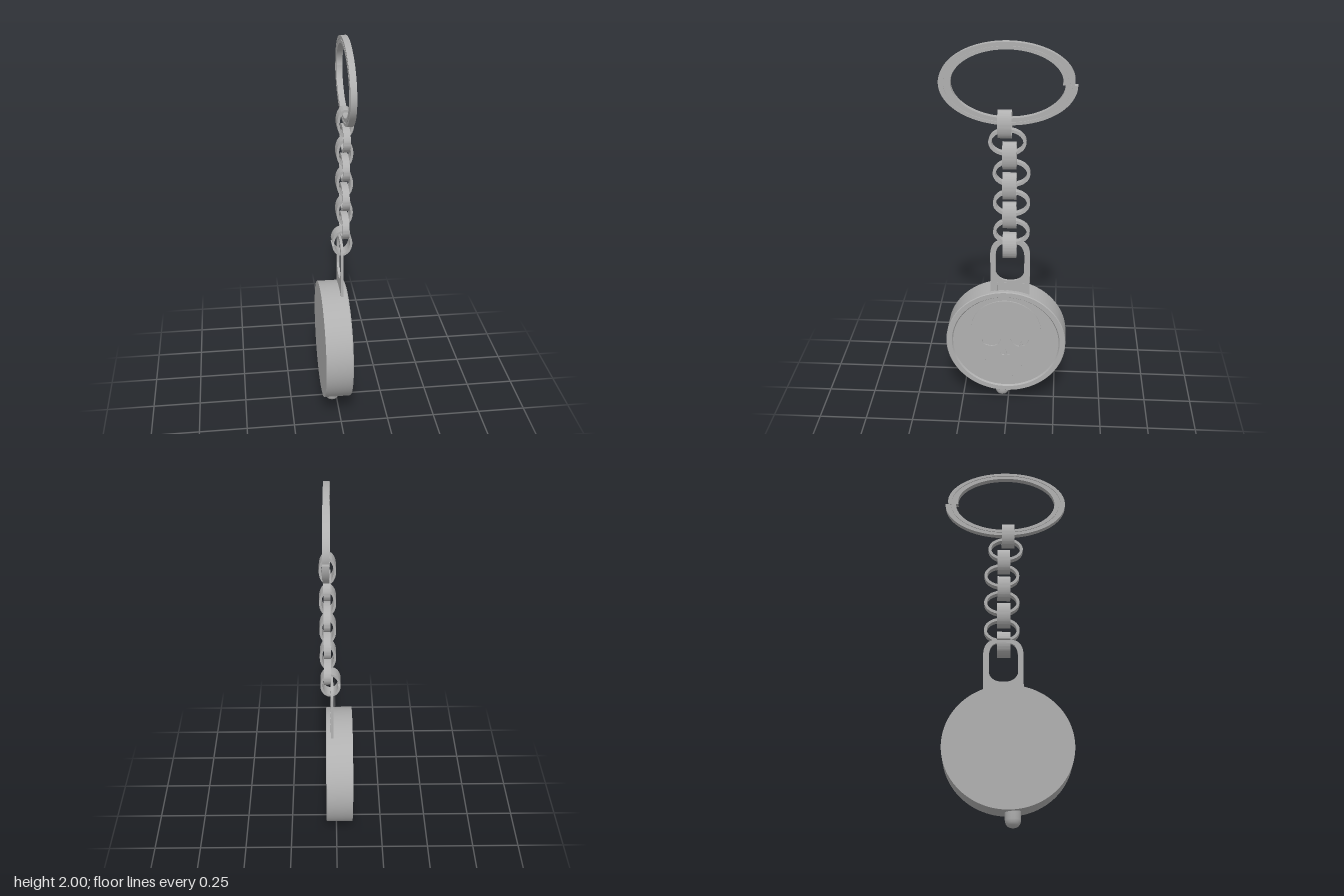
import * as THREE from 'three';
import { toCreasedNormals } from 'three/addons/utils/BufferGeometryUtils.js';

const metal = new THREE.MeshStandardMaterial({ color: 0xb0b0b0 });
metal.name = 'grey metal';

// Everything is laid out facing +z, then the whole group is turned to face +x.
export function createModel() {
  const root = new THREE.Group();
  root.name = 'keychain';
  root.rotation.y = Math.PI / 2;

  const add = (name, geo, x = 0, y = 0, z = 0) => {
    const mesh = new THREE.Mesh(toCreasedNormals(geo, 0.6), metal);
    mesh.name = name;
    mesh.position.set(x, y, z);
    root.add(mesh);
    return mesh;
  };
  const extrude = (shape, depth) =>
    new THREE.ExtrudeGeometry(shape, { depth, bevelEnabled: false, curveSegments: 16 });

  // Flat oval band, centred in depth; an optional gap opens it at +x
  const band = (rx, ry, wall, depth, gap = 0) => {
    const s = new THREE.Shape();
    s.absellipse(0, 0, rx, ry, gap, Math.PI * 2 - gap, false, 0);
    if (gap) {
      s.absellipse(0, 0, rx - wall, ry - wall, Math.PI * 2 - gap, gap, true, 0);
      s.closePath();
    } else {
      const h = new THREE.Path();
      h.absellipse(0, 0, rx - wall, ry - wall, 0, Math.PI * 2, true, 0);
      s.holes.push(h);
    }
    const g = new THREE.ExtrudeGeometry(s, { depth, bevelEnabled: false, curveSegments: 40 });
    return g.translate(0, 0, -depth / 2);
  };

  // Smooth closed outline through a few points
  const blob = (pts, n) => new THREE.CatmullRomCurve3(
    pts.map(([x, y]) => new THREE.Vector3(x, y, 0)), true, 'catmullrom', 0.5)
    .getPoints(n).slice(0, -1).map((p) => new THREE.Vector2(p.x, p.y));

  // Split ring: spiral strips with a step at the right side, grooved down the middle
  const ring = new THREE.Group();
  ring.name = 'splitRing';
  ring.position.set(0, 1.8, 0.046);
  ring.rotation.y = -0.012;
  root.add(ring);
  const strip = (name, f0, f1, depth) => {
    const loop = (f) => Array.from({ length: 97 }, (_, i) => {
      const t = (i / 96) * Math.PI * 2 * 0.9999;
      const k = 1 - 0.05 * Math.exp(-t / 0.3);
      const rx = 0.27 + 0.058 * f, ry = 0.165 + 0.035 * f;
      return new THREE.Vector2(Math.cos(t) * rx * k, Math.sin(t) * ry * k);
    });
    const g = extrude(new THREE.Shape([...loop(f1), ...loop(f0).reverse()]), depth);
    ring.add(add(name, g.translate(0, 0, -depth / 2)));
  };
  strip('ringInnerCoil', 0, 0.45, 0.03);
  strip('ringGroove', 0.45, 0.58, 0.022);
  strip('ringOuterCoil', 0.58, 1, 0.03);

  // Chain links seen edge-on from the face
  [[-0.015, 1.6], [0.008, 1.44], [0.008, 1.28], [0.008, 1.123]].forEach(([x, y]) => {
    add('crossLink', band(0.041, 0.071, 0.012, 0.068), x, y, 0.042).rotation.y = Math.PI / 2;
  });
  add('openLink', band(0.052, 0.07, 0.012, 0.068, 0.16), 0.008, 0.95, 0.03).rotation.y = Math.PI / 2;

  // Chain links lying flat to the face
  [[-0.002, 1.513], [0.018, 1.352], [0.018, 1.193], [0.018, 1.035]].forEach(([x, y]) => {
    add('flatLink', band(0.092, 0.068, 0.015, 0.034), x, y, 0.045);
  });

  // Hanger tab with a window and small ribs
  const tab = new THREE.Shape();
  tab.moveTo(-0.092, 0.62);
  tab.lineTo(0.112, 0.62);
  tab.lineTo(0.112, 0.9);
  tab.quadraticCurveTo(0.105, 0.97, 0.05, 0.972);
  tab.lineTo(-0.03, 0.972);
  tab.quadraticCurveTo(-0.085, 0.97, -0.092, 0.9);
  tab.closePath();
  const win = new THREE.Path();
  win.moveTo(-0.064, 0.79);
  win.lineTo(-0.064, 0.89);
  win.quadraticCurveTo(-0.06, 0.95, -0.02, 0.953);
  win.lineTo(0.04, 0.953);
  win.quadraticCurveTo(0.078, 0.95, 0.083, 0.89);
  win.lineTo(0.083, 0.79);
  win.quadraticCurveTo(0.07, 0.742, 0.01, 0.742);
  win.quadraticCurveTo(-0.05, 0.742, -0.064, 0.79);
  tab.holes.push(win);
  add('hangerTab', extrude(tab, 0.013), 0, 0, 0.016);
  [-0.06, -0.015, 0.03, 0.08].forEach((x) =>
    add('tabRib', new THREE.BoxGeometry(0.012, 0.05, 0.006), x, 0.705, 0.03));

  // Round body with a raised rim
  const profile = [[0, -0.085], [0.318, -0.085], [0.318, 0.05], [0.314, 0.055],
    [0.288, 0.055], [0.282, 0.046], [0, 0.046]].map(([r, d]) => new THREE.Vector2(r, d));
  const body = new THREE.LatheGeometry(profile, 96).rotateX(Math.PI / 2).scale(1, 0.967, 1);
  add('body', body, -0.012, 0.378, 0);

  // Raised dripping skull with eye and nose openings
  const skull = new THREE.Shape(blob([
    [-0.012, 0.632], [-0.11, 0.605], [-0.175, 0.54], [-0.198, 0.45], [-0.18, 0.385],
    [-0.172, 0.33], [-0.15, 0.305], [-0.14, 0.25], [-0.125, 0.25], [-0.118, 0.29],
    [-0.095, 0.28], [-0.09, 0.2], [-0.075, 0.2], [-0.068, 0.25], [-0.045, 0.25],
    [-0.038, 0.22], [-0.025, 0.22], [-0.018, 0.245], [0, 0.24], [0.006, 0.15],
    [0.022, 0.15], [0.028, 0.24], [0.05, 0.25], [0.056, 0.185], [0.072, 0.185],
    [0.078, 0.27], [0.098, 0.285], [0.104, 0.24], [0.118, 0.24], [0.128, 0.31],
    [0.15, 0.335], [0.155, 0.385], [0.176, 0.45], [0.152, 0.54], [0.085, 0.605],
  ], 210));
  const leftEye = [[-0.138, 0.39], [-0.125, 0.365], [-0.09, 0.355], [-0.055, 0.365], [-0.036, 0.4],
    [-0.045, 0.425], [-0.06, 0.418], [-0.07, 0.436], [-0.085, 0.422], [-0.1, 0.438],
    [-0.112, 0.422], [-0.13, 0.42]];
  const rightEye = [[0.014, 0.4], [0.035, 0.368], [0.06, 0.357], [0.072, 0.385], [0.08, 0.36],
    [0.096, 0.37], [0.112, 0.398], [0.1, 0.425], [0.088, 0.42], [0.075, 0.44],
    [0.062, 0.425], [0.05, 0.438], [0.036, 0.415]];
  const nose = [[-0.012, 0.382], [-0.03, 0.355], [-0.04, 0.315], [-0.03, 0.3], [-0.016, 0.305],
    [-0.012, 0.335], [-0.006, 0.305], [0.008, 0.3], [0.018, 0.315], [0.008, 0.355]];
  [leftEye, rightEye, nose].forEach((p) => skull.holes.push(new THREE.Path(blob(p, 60))));
  add('skullRelief', extrude(skull, 0.008), 0, 0, 0.045);

  // Rounded nub under the body
  const nub = [[0, 0], [0.016, 0.002], [0.028, 0.009], [0.035, 0.02], [0.038, 0.035], [0.038, 0.1]]
    .map(([r, y]) => new THREE.Vector2(r, y));
  add('bottomNub', new THREE.LatheGeometry(nub, 32), -0.035, 0, -0.025);

  const model = new THREE.Group();
  model.name = 'model';
  model.add(root);
  return model;
}
